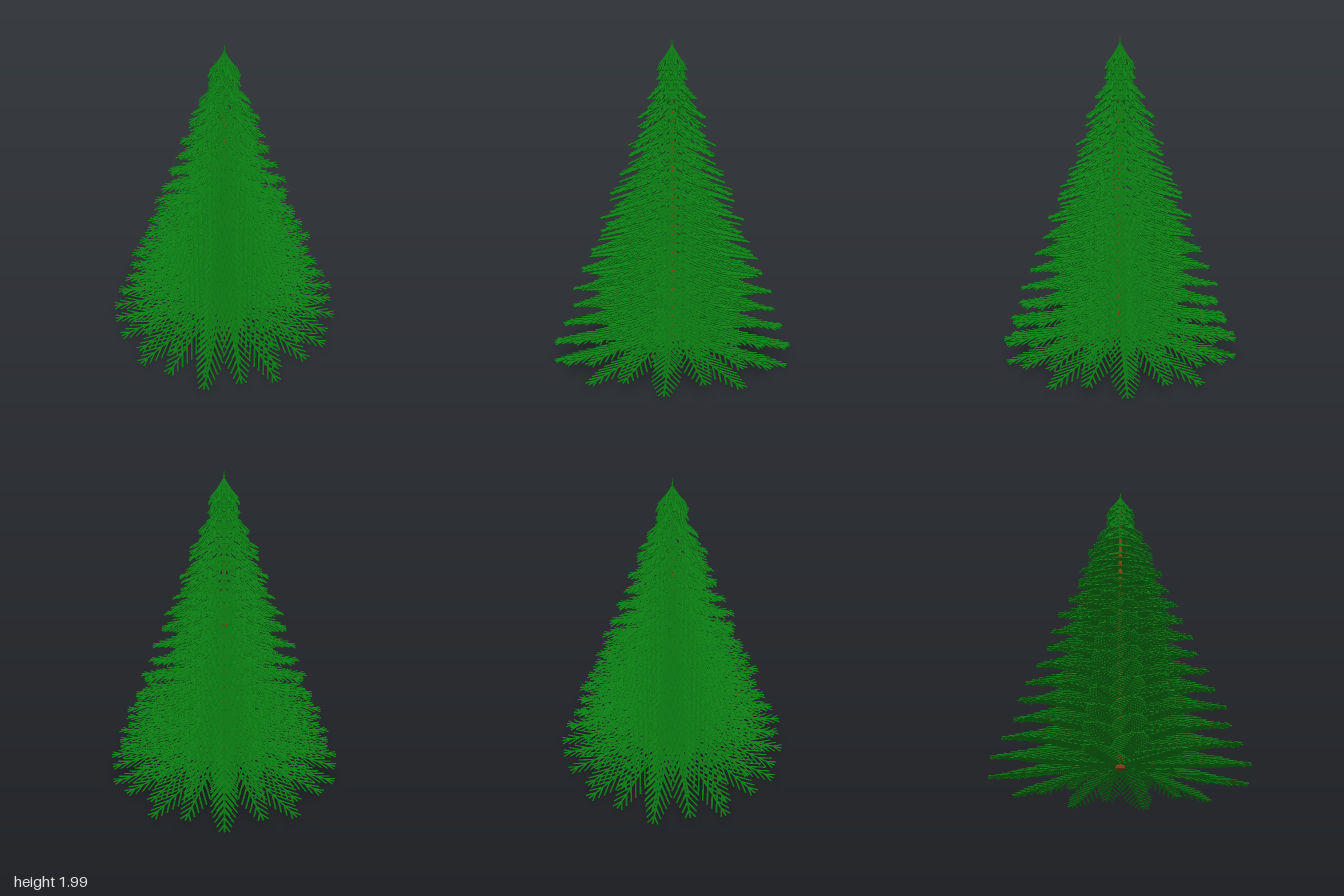
import * as THREE from 'three';
import { mergeGeometries } from 'three/addons/utils/BufferGeometryUtils.js';

const TIERS = 32, BRANCHES = 10, STEP = 0.06;

const green = new THREE.MeshStandardMaterial({ color: 0x0a7a12, flatShading: true });
const brown = new THREE.MeshStandardMaterial({ color: 0x8b4513, flatShading: true });

// Thin four-sided stick lying in the x-z plane, from (x, 0, 0) outwards at an angle
function stick(x, length, angle, radius) {
  const g = new THREE.CylinderGeometry(radius * 0.85, radius, length, 4);
  g.translate(0, length / 2, 0);
  g.rotateZ(-Math.PI / 2);
  g.rotateY(angle);
  g.translate(x, 0, 0);
  return g;
}

// Flat fir branch along +x: a stem with forward-swept pairs of twigs
function branch(reach, drop) {
  const length = Math.hypot(reach, drop);
  const parts = [stick(0, length, 0, 0.007)];
  for (let d = STEP; length - d > 0.015; d += STEP) {
    const twig = Math.min(0.03 + 0.65 * d, 0.05 + 0.4 * (d - 0.02), 0.17);
    for (const side of [-1, 1]) parts.push(stick(length - d, twig, side * 0.52, 0.006));
  }
  const g = mergeGeometries(parts);
  g.rotateZ(-Math.atan2(drop, reach));
  return g;
}

export function createModel() {
  const tree = new THREE.Group();
  tree.name = 'firTree';

  // Trunk and leading shoot
  const trunk = new THREE.Mesh(new THREE.CylinderGeometry(0.006, 0.03, 1.86, 8), brown);
  trunk.position.y = 1.01;
  trunk.name = 'trunk';
  const shoot = new THREE.Mesh(new THREE.ConeGeometry(0.012, 0.1, 6), green);
  shoot.position.y = 1.945;
  shoot.name = 'topShoot';
  tree.add(trunk, shoot);

  // Tiers of branches, each turned half a step from the one below
  for (let k = 0; k < TIERS; k++) {
    const reach = 0.75 - STEP * Math.floor((k + 0.5) * 0.375);
    const drop = 0.1 + 0.0015 * k;
    const one = branch(reach, drop);
    const ring = [];
    for (let i = 0; i < BRANCHES; i++) {
      const yaw = (i / BRANCHES) * Math.PI * 2 + (k % 2 ? 0 : Math.PI / 2);
      ring.push(one.clone().rotateY(yaw));
    }
    const tier = new THREE.Mesh(mergeGeometries(ring), green);
    tier.position.y = 0.008 + 0.0575 * k + drop;
    tier.name = `branchTier${k + 1}`;
    tree.add(tier);
  }
  return tree;
}
